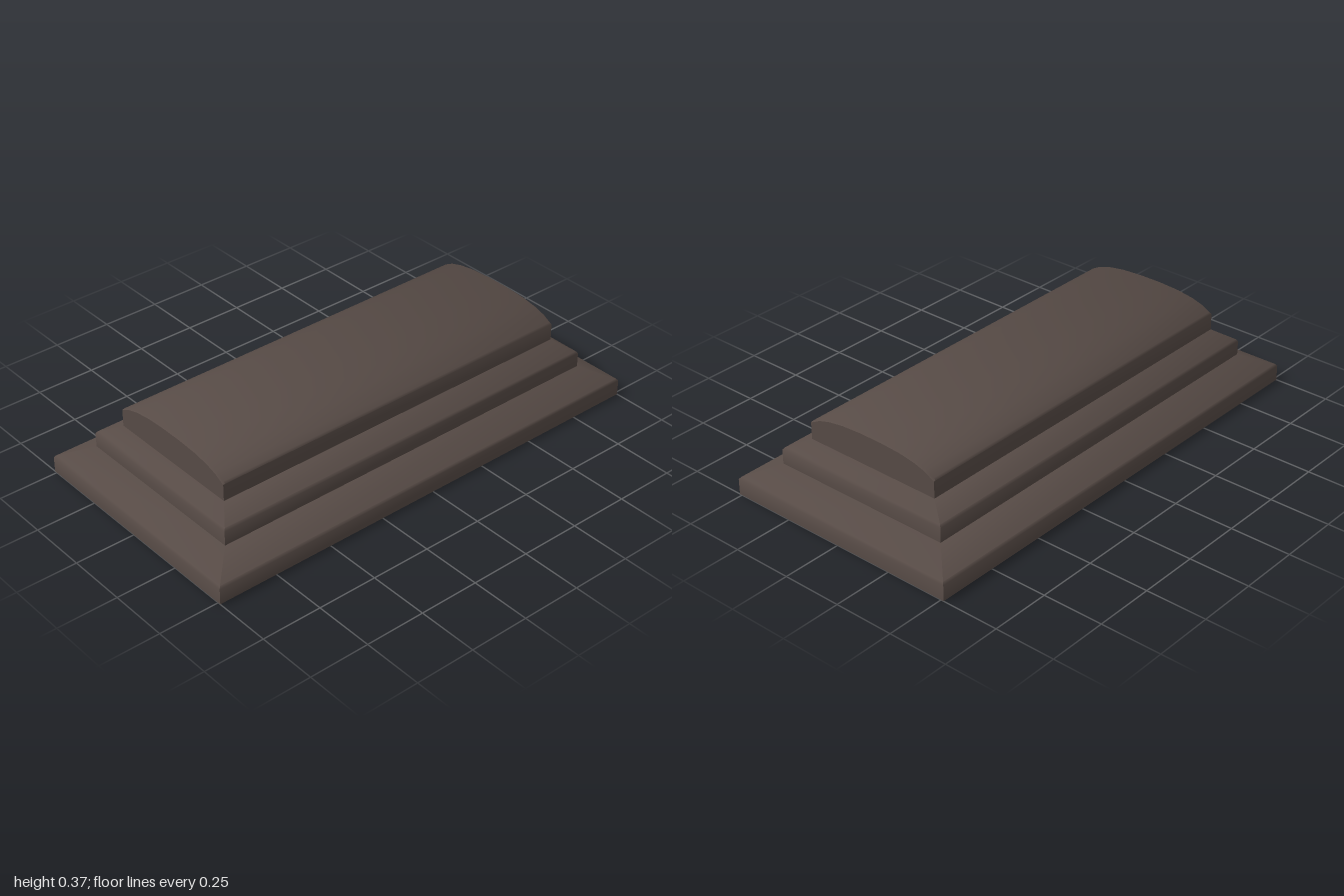
import * as THREE from 'three';
import { toCreasedNormals } from 'three/addons/utils/BufferGeometryUtils.js';

// Skin a surface through rows of points; closed rows wrap around
function loft(rows, closed) {
  const n = rows[0].length, pos = rows.flat(2), index = [];
  for (let i = 0; i < rows.length - 1; i++) {
    for (let j = 0; j < (closed ? n : n - 1); j++) {
      const k = (j + 1) % n;
      const a = i * n + j, b = i * n + k, c = b + n, d = a + n;
      index.push(a, b, c, a, c, d);
    }
  }
  const g = new THREE.BufferGeometry();
  g.setAttribute('position', new THREE.Float32BufferAttribute(pos, 3));
  g.setIndex(index);
  return toCreasedNormals(g, 0.8);
}

// Rectangular ring of corners at one height
const ring = ([hx, hz, y]) => [[hx, y, hz], [hx, y, -hz], [-hx, y, -hz], [-hx, y, hz]];

export function createModel() {
  const group = new THREE.Group();
  const stone = new THREE.MeshStandardMaterial({ color: 0x574b46, side: THREE.DoubleSide });
  stone.name = 'dark brown stone';

  const add = (name, geometry) => {
    const mesh = new THREE.Mesh(geometry, stone);
    mesh.name = name;
    group.add(mesh);
  };

  // Stepped hollow tiers: wall, small rounded edge, sloping shoulder
  add('baseTier', loft([
    [0.512, 1, 0], [0.512, 1, 0.065], [0.505, 0.993, 0.074], [0.393, 0.882, 0.126],
  ].map(ring), true));
  add('middleTier', loft([
    [0.393, 0.882, 0.126], [0.393, 0.882, 0.186], [0.386, 0.875, 0.195], [0.304, 0.814, 0.236],
  ].map(ring), true));

  // Arched lid, open underneath
  const half = [[0.304, 0.236], [0.304, 0.307], [0.297, 0.315], [0.26, 0.335],
    [0.21, 0.35], [0.14, 0.361], [0.05, 0.366]];
  const profile = [...half, ...half.slice().reverse().map(([x, y]) => [-x, y])];
  const eased = profile.map(([x, y]) => [x, y > 0.31 ? y - 0.006 : y]);
  const row = (points, z) => points.map(([x, y]) => [x, y, z]);
  add('archedLid', loft([
    row(eased, -0.814), row(profile, -0.806), row(profile, 0.806), row(eased, 0.814),
  ], false));

  // Flat end walls of the lid
  const endShape = new THREE.Shape(eased.map(([x, y]) => new THREE.Vector2(x, y)));
  for (const [name, angle] of [['frontLidEnd', 0], ['backLidEnd', Math.PI]]) {
    add(name, new THREE.ShapeGeometry(endShape).translate(0, 0, 0.814).rotateY(angle));
  }
  return group;
}
